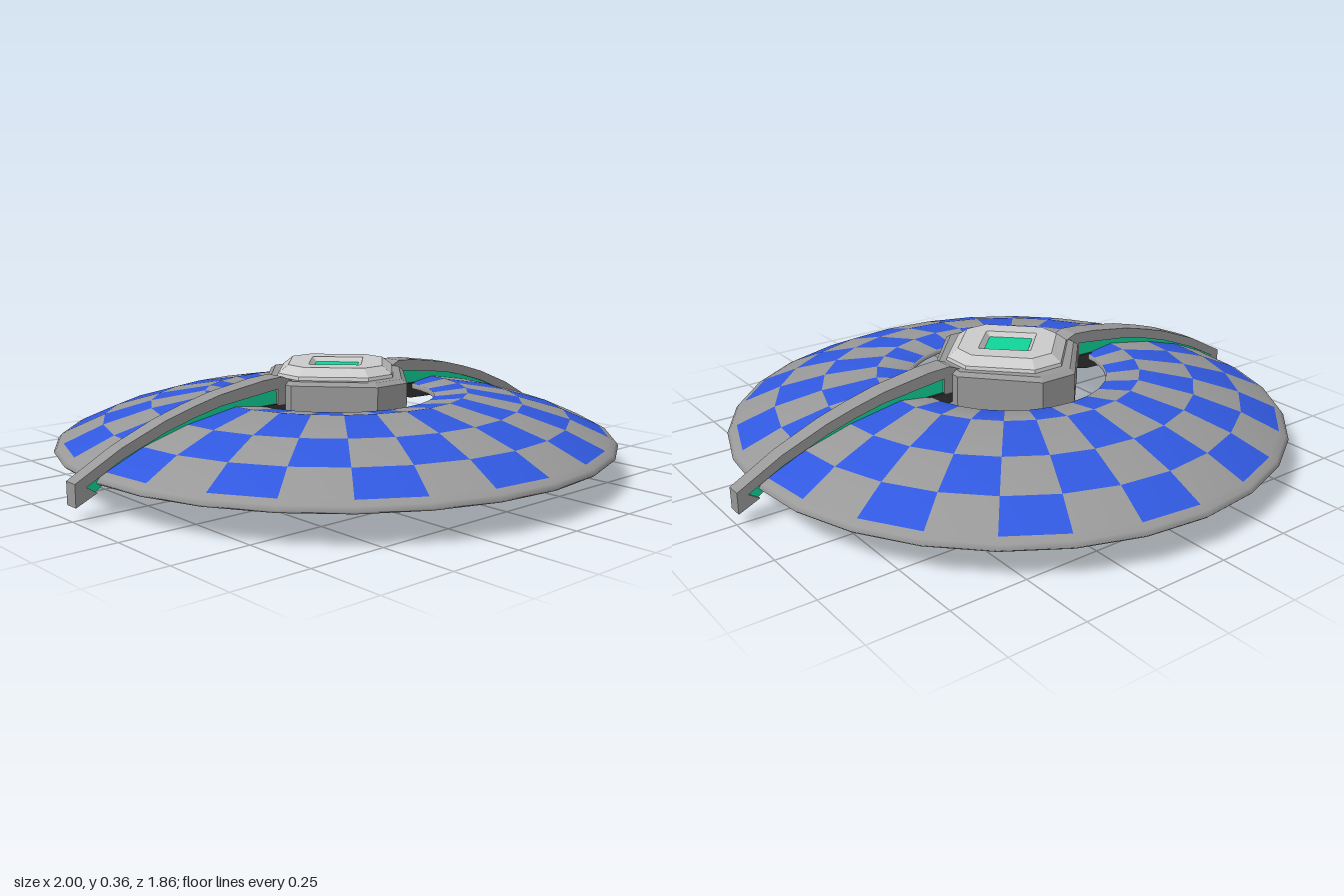
import * as THREE from 'three';

const mat = (color, flatShading = true, side = THREE.FrontSide) =>
  new THREE.MeshStandardMaterial({ color, flatShading, side });
const grey = mat(0x999999), light = mat(0xcccccc), green = mat(0x10d69a), dark = mat(0x333333);

function mesh(name, geometry, material) {
  const m = new THREE.Mesh(geometry, material);
  m.name = name;
  return m;
}

// Diamond outline with cut corners: half sizes X, Z and half corner width c
const outline = ([y, X, Z, c]) => [
  [c, Z], [X, c], [X, -c], [c, -Z], [-c, -Z], [-X, -c], [-X, c], [-c, Z],
].map(([x, z]) => [x, y, z]);

// Faceted skin through stacked outlines, with optional flat caps
function loft(sections, capBottom, capTop) {
  const rings = sections.map(outline), pos = [];
  const tri = (...pts) => pts.forEach((p) => pos.push(...p));
  for (let k = 0; k < rings.length - 1; k++) {
    const a = rings[k], b = rings[k + 1];
    for (let i = 0; i < 8; i++) {
      const j = (i + 1) % 8;
      tri(a[i], a[j], b[j]);
      tri(a[i], b[j], b[i]);
    }
  }
  const bottom = rings[0], top = rings[rings.length - 1];
  for (let i = 1; i < 7; i++) {
    if (capBottom) tri(bottom[0], bottom[i + 1], bottom[i]);
    if (capTop) tri(top[0], top[i], top[i + 1]);
  }
  const g = new THREE.BufferGeometry();
  g.setAttribute('position', new THREE.Float32BufferAttribute(pos, 3));
  g.computeVertexNormals();
  return g;
}

// Side outline extruded to a half width that tapers from the hub to the tip
function taperedSlab(points, inner, outer) {
  const shape = new THREE.Shape(points.map(([x, y]) => new THREE.Vector2(x, y)));
  const g = new THREE.ExtrudeGeometry(shape, { depth: 2, bevelEnabled: false });
  g.translate(0, 0, -1);
  const p = g.attributes.position;
  for (let i = 0; i < p.count; i++) {
    const t = THREE.MathUtils.clamp((p.getX(i) - 0.25) / 0.75, 0, 1);
    p.setZ(i, p.getZ(i) * THREE.MathUtils.lerp(inner, outer, t));
  }
  g.computeVertexNormals();
  return g;
}

// Shallow ring dish whose cells are sorted into two checker colours
function createDish() {
  const group = new THREE.Group();
  group.name = 'dish';
  const top = [[0.9, 0.132], [0.775, 0.187], [0.62, 0.232], [0.44, 0.264], [0.33, 0.25]];
  const under = top.map(([r, y]) => [r, y - 0.018]).reverse();
  const profile = [...under, [0.925, 0.1], [0.932, 0.107], [0.922, 0.12], ...top, under[0]];
  const sides = 28, rows = profile.length - 1;
  const lathe = new THREE.LatheGeometry(profile.map(([r, y]) => new THREE.Vector2(r, y)), sides);
  const cells = { plain: [], blue: [] };
  const all = lathe.index.array;
  for (let i = 0; i < sides; i++) {
    for (let j = 0; j < rows; j++) {
      const row = j < 4 ? 3 - j : j >= 8 && j < 12 ? j - 8 : -1;
      const isBlue = row >= 0 && (i + row) % 2 === 1;
      const at = (i * rows + j) * 6;
      cells[isBlue ? 'blue' : 'plain'].push(...all.slice(at, at + 6));
    }
  }
  for (const [name, index] of Object.entries(cells)) {
    const g = lathe.clone();
    g.setIndex(index);
    group.add(mesh(name + 'Cells', g, mat(name === 'blue' ? 0x3159e0 : 0x999999, false, THREE.DoubleSide)));
  }
  return group;
}

// Curved arm: grey frame, green inlay and dark bracket under the dish
function createArm(name) {
  const arm = new THREE.Group();
  arm.name = name;
  const frame = [
    [0.2, 0.315], [0.26, 0.34], [0.34, 0.335], [0.5, 0.31], [0.6, 0.285], [0.7, 0.255], [0.85, 0.195], [1, 0.115],
    [1, 0.045], [0.93, 0.078], [0.965, 0.1], [0.85, 0.16], [0.7, 0.22], [0.6, 0.25], [0.5, 0.274],
    [0.28, 0.302], [0.28, 0.25], [0.2, 0.25],
  ];
  const inlay = [
    [0.27, 0.31], [0.5, 0.284], [0.7, 0.23], [0.85, 0.17], [0.975, 0.1],
    [0.94, 0.076], [0.85, 0.135], [0.7, 0.19], [0.5, 0.24], [0.27, 0.25],
  ];
  const bracket = [[0.22, 0.255], [0.24, 0.22], [0.32, 0.2], [0.5, 0.195], [0.57, 0.225], [0.45, 0.25]];
  arm.add(
    mesh('armFrame', taperedSlab(frame, 0.037, 0.025), grey),
    mesh('armInlay', taperedSlab(inlay, 0.028, 0.019), green),
    mesh('armBracket', taperedSlab(bracket, 0.036, 0.03), dark),
  );
  return arm;
}

// U-shaped grip below the hub, running front to back
function createHandle() {
  const half = [[0.125, 0.006], [0.15, 0.03], [0.163, 0.085], [0.166, 0.21], [0.138, 0.21], [0.134, 0.08], [0.122, 0.05], [0.105, 0.038]];
  const pts = [...half, ...half.map(([z, y]) => [-z, y]).reverse()];
  const g = new THREE.ExtrudeGeometry(new THREE.Shape(pts.map(([z, y]) => new THREE.Vector2(z, y))), {
    depth: 0.098, bevelEnabled: true, bevelSize: 0.006, bevelThickness: 0.006, bevelSegments: 1,
  });
  g.translate(0, 0, -0.049).rotateY(Math.PI / 2);
  return mesh('handle', g, dark);
}

export function createModel() {
  const model = new THREE.Group();
  model.name = 'discShield';
  model.add(createDish());

  // Hub with a lighter bevelled crown and a sunken gem
  model.add(
    mesh('hub', loft([[0.2, 0.25, 0.27, 0.065], [0.312, 0.25, 0.27, 0.065], [0.324, 0.235, 0.25, 0.06]], true, true), grey),
    mesh('crown', loft([
      [0.32, 0.212, 0.217, 0.055], [0.335, 0.208, 0.213, 0.053], [0.361, 0.175, 0.18, 0.04],
      [0.361, 0.118, 0.118, 0.004], [0.345, 0.1, 0.1, 0.002],
    ]), light),
    mesh('gem', loft([[0.33, 0.1, 0.1, 0.002], [0.346, 0.1, 0.1, 0.002]], false, true), green),
  );

  const rightArm = createArm('rightArm');
  rightArm.rotation.y = Math.PI;
  model.add(createArm('leftArm'), rightArm, createHandle());
  return model;
}
